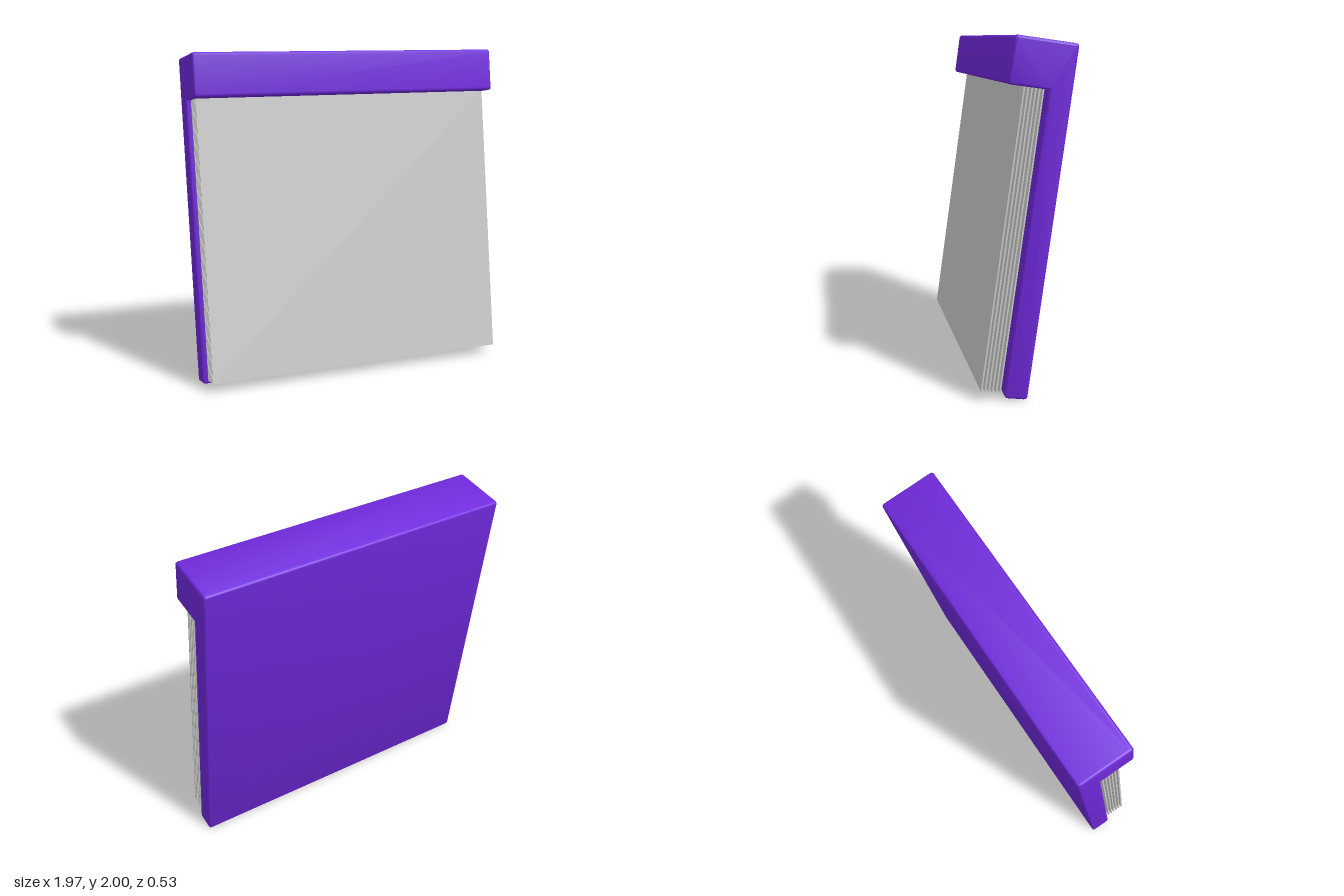
import * as THREE from 'three';
import { toCreasedNormals } from 'three/addons/utils/BufferGeometryUtils.js';

const WIDTH = 1.97, HEIGHT = 1.975, BACK = 0.13, HEAD_DEPTH = 0.35, HEAD_BOTTOM = 1.713;
const TILT = THREE.MathUtils.degToRad(8);

// Closed shape whose corners are softened by radius r (0 keeps a corner sharp)
function roundedShape(corners) {
  const shape = new THREE.Shape();
  corners.forEach(([x, y, r], i) => {
    const p = new THREE.Vector2(x, y);
    const toward = ([nx, ny]) => new THREE.Vector2(nx, ny).sub(p).setLength(r).add(p);
    const a = toward(corners.at(i - 1));
    const b = toward(corners[(i + 1) % corners.length]);
    if (i === 0) shape.moveTo(a.x, a.y);
    else shape.lineTo(a.x, a.y);
    if (r > 0) shape.quadraticCurveTo(p.x, p.y, b.x, b.y);
  });
  shape.closePath();
  return shape;
}

// Side profile (depth, height) of the backing board with its overhanging top bar
function makeBody() {
  const r = 0.02, bevel = 0.015;
  const shape = roundedShape([
    [0, 0, r], [BACK, 0, r], [BACK, HEAD_BOTTOM, 0],
    [HEAD_DEPTH, HEAD_BOTTOM, r], [HEAD_DEPTH, HEIGHT, r], [0, HEIGHT, r],
  ]);
  const geometry = new THREE.ExtrudeGeometry(shape, {
    depth: WIDTH - 2 * bevel, curveSegments: 4,
    bevelEnabled: true, bevelSize: bevel, bevelThickness: bevel, bevelOffset: -bevel, bevelSegments: 4,
  });
  geometry.translate(0, 0, bevel - WIDTH / 2);
  geometry.rotateY(-Math.PI / 2);
  const body = new THREE.Mesh(toCreasedNormals(geometry, 0.7), new THREE.MeshStandardMaterial({ color: 0x7029dc }));
  body.name = 'backingBoard';
  return body;
}

// Loose stack of thin sheets hanging under the top bar
function makeSheets() {
  const sheets = new THREE.Group();
  sheets.name = 'sheets';
  const count = 6, step = 0.021, thickness = 0.009, bottom = 0.024;
  const height = HEAD_BOTTOM + 0.01 - bottom;
  const geometry = new THREE.BoxGeometry(1.92, height, thickness);
  const material = new THREE.MeshStandardMaterial({ color: 0xcccccc });
  for (let i = 0; i < count; i++) {
    const sheet = new THREE.Mesh(geometry, material);
    sheet.name = 'sheet' + (i + 1);
    sheet.position.set(0, bottom + height / 2, 0.26 - i * step);
    sheets.add(sheet);
  }
  return sheets;
}

export function createModel() {
  const model = new THREE.Group();
  model.name = 'tearOffPad';
  // The whole pad leans back
  const pad = new THREE.Group();
  pad.name = 'leaningPad';
  pad.add(makeBody(), makeSheets());
  pad.rotation.x = -TILT;
  pad.position.set(0, -0.003, 0.01);
  model.add(pad);
  return model;
}
